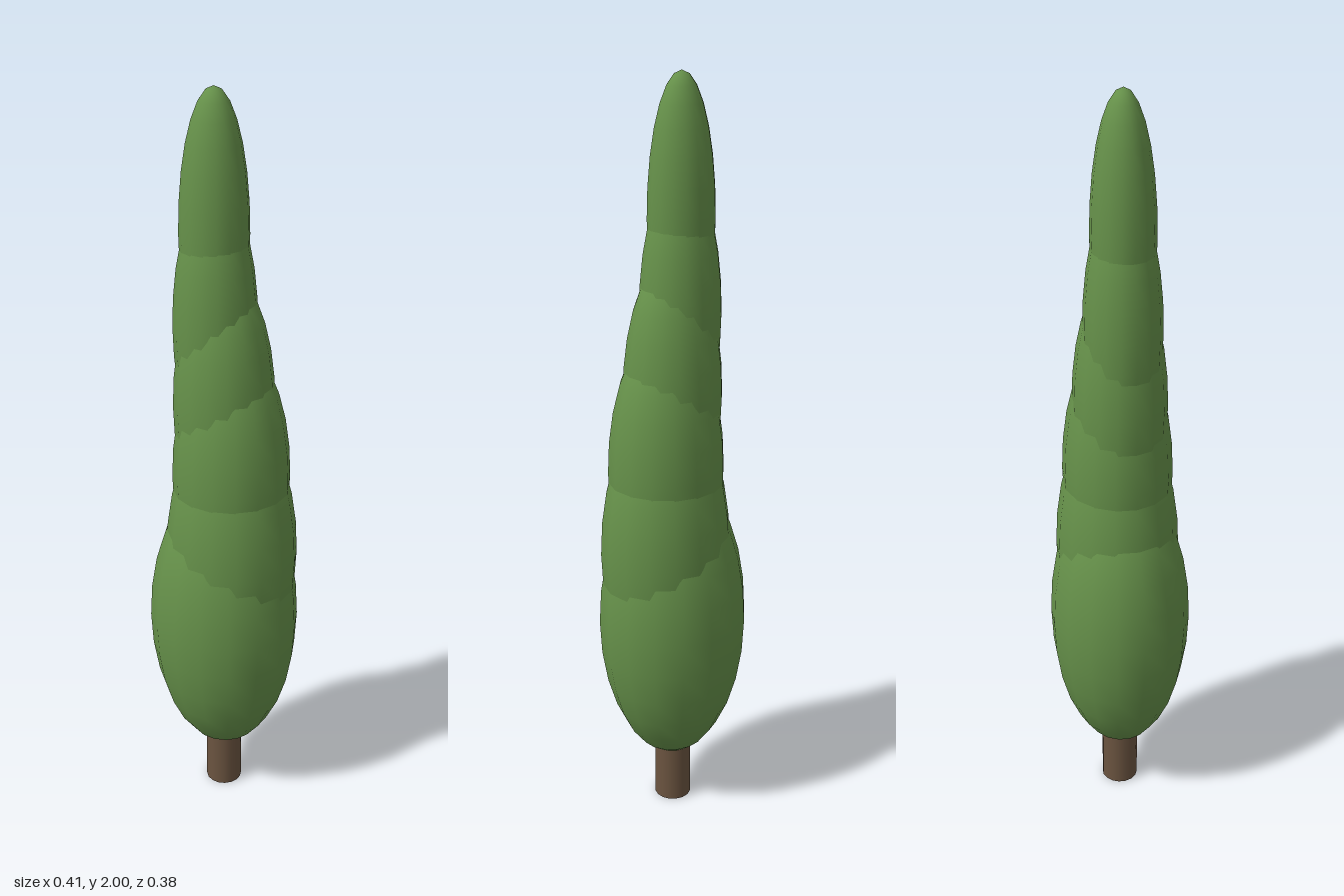
import * as THREE from 'three';

// Foliage tiers from bottom to top: x offset, centre height, x radius, y radius
const TIERS = [
  [0, 0.565, 0.203, 0.42],
  [0.022, 0.77, 0.176, 0.41],
  [0.02, 1.0, 0.155, 0.38],
  [0, 1.2, 0.131, 0.36],
  [-0.023, 1.41, 0.107, 0.355],
  [-0.025, 1.65, 0.087, 0.35],
];
const DEPTH = 0.926; // foliage is slightly narrower front to back

export function createModel() {
  const tree = new THREE.Group();
  tree.name = 'cypressTree';

  const bark = new THREE.MeshStandardMaterial({ color: 0x6b5440 });
  const leaf = new THREE.MeshStandardMaterial({ color: 0x66914a });

  // Trunk, running up into the lowest tier
  const trunk = new THREE.Mesh(new THREE.CylinderGeometry(0.05, 0.05, 0.24, 16), bark);
  trunk.name = 'trunk';
  trunk.position.y = 0.12;
  tree.add(trunk);

  // Overlapping ellipsoids that sway to one side and back
  const foliage = new THREE.Group();
  foliage.name = 'foliage';
  const ball = new THREE.SphereGeometry(1, 16, 14);
  TIERS.forEach(([x, y, rx, ry], i) => {
    const tier = new THREE.Mesh(ball, leaf);
    tier.name = `foliageTier${i + 1}`;
    tier.position.set(x, y, 0);
    tier.scale.set(rx, ry, rx * DEPTH);
    foliage.add(tier);
  });
  tree.add(foliage);

  return tree;
}
